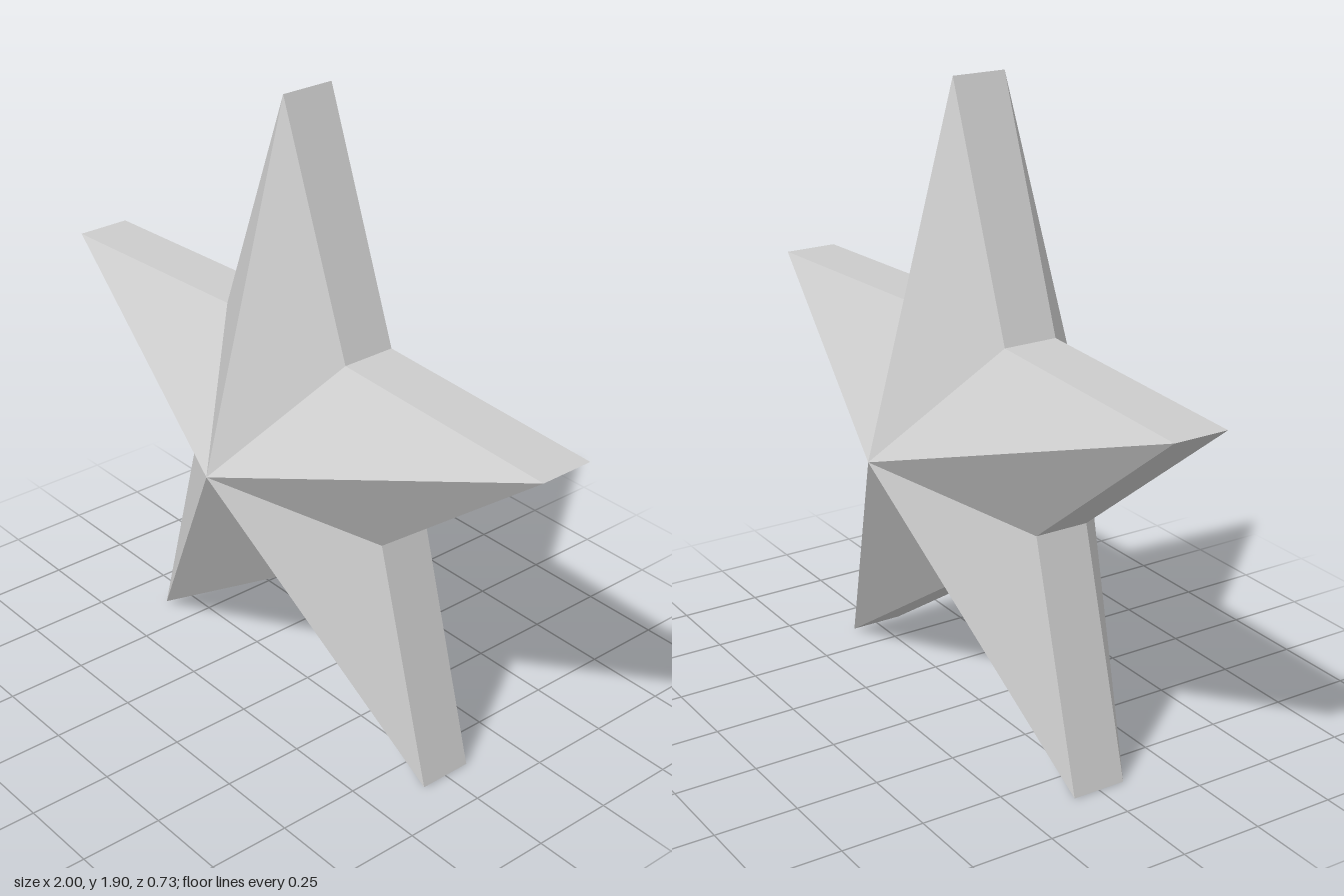
import * as THREE from 'three';

const OUTER = 1.0515;   // tip radius
const INNER = 0.44;     // notch radius
const CENTRE_Y = 0.8507;
const RIM = 0.083;      // half thickness of the rim
const PEAK = 0.366;     // depth of the centre points

// Star outline, counter-clockwise from the top tip
const outline = Array.from({ length: 10 }, (_, i) => {
  const a = Math.PI / 2 + (i * Math.PI) / 5;
  const r = i % 2 ? INNER : OUTER;
  return [r * Math.cos(a), r * Math.sin(a)];
});

// Calls face(p, q) for each edge of the outline and collects its corners
function facets(face) {
  const corners = outline.flatMap((p, i) => face(p, outline[(i + 1) % 10])).flat();
  const geometry = new THREE.BufferGeometry();
  geometry.setAttribute('position', new THREE.Float32BufferAttribute(corners, 3));
  geometry.computeVertexNormals();
  return geometry;
}

export function createModel() {
  const group = new THREE.Group();
  group.name = 'star';
  const grey = new THREE.MeshStandardMaterial({ color: 0xcccccc });
  grey.name = 'light grey';

  const add = (name, geometry) => {
    const mesh = new THREE.Mesh(geometry, grey);
    mesh.name = name;
    mesh.position.y = CENTRE_Y;
    group.add(mesh);
    return mesh;
  };

  // Faceted faces rising to a point at the centre
  const cap = facets((p, q) => [[0, 0, PEAK], [...p, RIM], [...q, RIM]]);
  add('frontFace', cap);
  add('backFace', cap).rotation.y = Math.PI;

  // Straight band joining the two faces
  add('rim', facets((p, q) => [
    [...p, RIM], [...p, -RIM], [...q, -RIM],
    [...p, RIM], [...q, -RIM], [...q, RIM],
  ]));

  return group;
}
